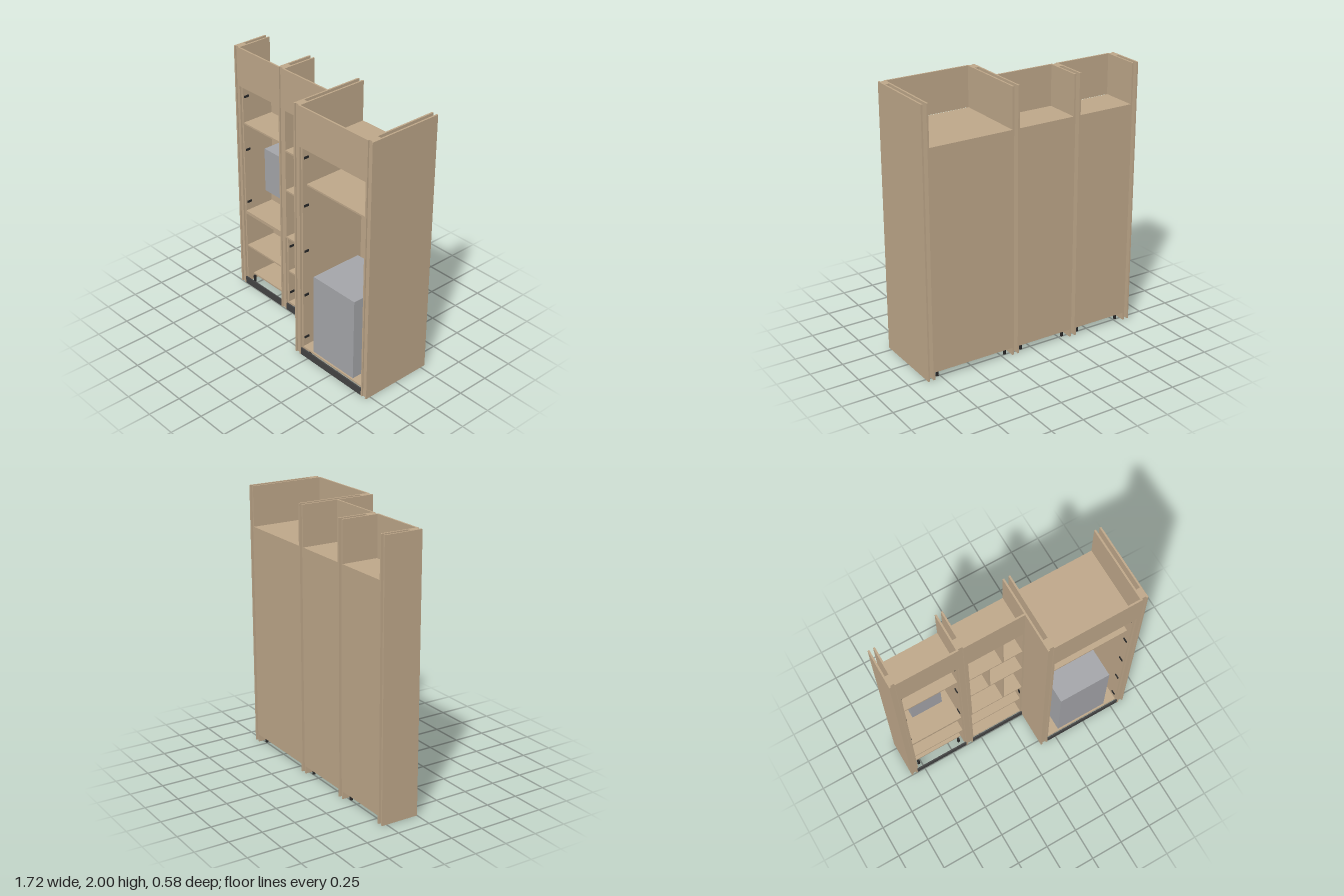
import * as THREE from 'three';

const wood = new THREE.MeshStandardMaterial({ color: 0xbfa88a });
wood.name = 'wood board';
const grey = new THREE.MeshStandardMaterial({ color: 0xa5a6aa });
grey.name = 'appliance grey';
const dark = new THREE.MeshStandardMaterial({ color: 0x444444 });
dark.name = 'plinth dark grey';
const black = new THREE.MeshStandardMaterial({ color: 0x262626 });
black.name = 'fitting black';

const T = 0.0128;      // board thickness
const BACK = -0.288;   // common rear plane
const SHALLOW = 0;     // front plane of the two shallow bays
const DEEP = 0.288;    // front plane of the deep bay

// Box given by its limits on each axis
function box(parent, name, mat, x0, x1, y0, y1, z0, z1) {
  const m = new THREE.Mesh(new THREE.BoxGeometry(x1 - x0, y1 - y0, z1 - z0), mat);
  m.position.set((x0 + x1) / 2, (y0 + y1) / 2, (z0 + z1) / 2);
  m.name = name;
  parent.add(m);
  return m;
}

// Open carcass: sides, top, bottom, back and horizontal shelves (by top height)
function carcass(parent, name, x0, x1, y0, y1, front, { shelves = [], shelfInset = 0.004, bottomInset = 0 } = {}) {
  const g = new THREE.Group();
  g.name = name;
  box(g, 'sideRight', wood, x0, x0 + T, y0, y1, BACK, front);
  box(g, 'sideLeft', wood, x1 - T, x1, y0, y1, BACK, front);
  box(g, 'topBoard', wood, x0 + T, x1 - T, y1 - T, y1, BACK, front);
  box(g, 'bottomBoard', wood, x0 + T, x1 - T, y0, y0 + T, BACK, front - bottomInset);
  box(g, 'backBoard', wood, x0 + T, x1 - T, y0 + T, y1 - T, BACK, BACK + 0.008);
  for (const y of shelves)
    box(g, 'shelf', wood, x0 + T, x1 - T, y - T, y, BACK + 0.008, front - shelfInset);
  parent.add(g);
  return g;
}

// Pillar: two full-height boards with a slightly recessed filler between them
function pillar(parent, x0, x1, front) {
  const g = new THREE.Group();
  g.name = 'pillar';
  box(g, 'pillarBoard', wood, x0, x0 + T, 0, 2, BACK, front);
  box(g, 'pillarBoard', wood, x1 - T, x1, 0, 2, BACK, front);
  box(g, 'pillarFiller', wood, x0 + T, x1 - T, 0, 2, front - 0.083, front - 0.011);
  parent.add(g);
}

// Plinth, feet and the fascia above a bay
function bayTrim(parent, x0, x1, front) {
  box(parent, 'fascia', wood, x0, x1, 1.7, 2, front - T, front);
  box(parent, 'plinth', dark, x0, x1, 0, 0.056, front - T, front - 0.002);
  for (const x of [x0 + 0.04, x1 - 0.04])
    for (const z of [BACK + 0.045, front - 0.06]) {
      const foot = new THREE.Mesh(new THREE.CylinderGeometry(0.011, 0.011, 0.058, 12), black);
      foot.position.set(x, 0.029, z);
      foot.name = 'foot';
      parent.add(foot);
    }
}

// Hinge plates on the inner faces of the sides
function hinges(parent, xs, ys, front) {
  for (const [x, dir] of xs)
    for (const y of ys)
      box(parent, 'hinge', black, Math.min(x, x + dir * 0.007), Math.max(x, x + dir * 0.007),
        y - 0.008, y + 0.008, front - 0.05, front - 0.012);
}

export function createModel() {
  const model = new THREE.Group();
  model.name = 'builtInCabinet';

  const A = [-0.81, -0.379], B = [-0.322, 0.118], C = [0.175, 0.808];
  const base = 0.058, mid = 0.645, top = 1.7;
  const inS = SHALLOW - 0.016, inD = DEEP - 0.016;   // carcass fronts behind doors

  // Pillars between and beside the bays
  pillar(model, -0.862, A[0], SHALLOW);
  pillar(model, A[1], B[0], SHALLOW);
  pillar(model, B[1], C[0], DEEP);
  pillar(model, C[1], 0.862, DEEP);

  // Boiler bay
  const boilerBay = new THREE.Group();
  boilerBay.name = 'boilerBay';
  model.add(boilerBay);
  bayTrim(boilerBay, ...A, SHALLOW);
  carcass(boilerBay, 'lowerCarcass', ...A, base, mid, inS, { shelves: [0.35], bottomInset: 0.055 });
  carcass(boilerBay, 'upperCarcass', ...A, mid, top, inS, { shelves: [1.405] });
  box(boilerBay, 'lowerRail', wood, A[0] + T, A[1] - T, mid + T, 0.72, BACK + 0.008, BACK + 0.021);
  box(boilerBay, 'upperRail', wood, A[0] + T, A[1] - T, 1.285, 1.392, BACK + 0.008, BACK + 0.021);
  box(boilerBay, 'boiler', grey, -0.715, -0.475, 0.825, 1.18, -0.28, -0.14);
  hinges(boilerBay, [[A[0] + T, 1], [A[1] - T, -1]], [0.73, 1.175, 1.61], inS);

  // Open shelf bay with a closed lower part
  const shelfBay = new THREE.Group();
  shelfBay.name = 'shelfBay';
  model.add(shelfBay);
  bayTrim(shelfBay, ...B, SHALLOW);
  carcass(shelfBay, 'lowerCarcass', ...B, base, mid, inS, { shelves: [0.35] });
  carcass(shelfBay, 'upperCarcass', ...B, mid, top, SHALLOW, { shelves: [1.055, 1.378], shelfInset: 0 });
  for (const [x, y0, y1] of [[-0.048, mid + T, 1.042], [-0.158, 1.055, 1.365], [-0.048, 1.378, top - T]])
    box(shelfBay, 'divider', wood, x - T / 2, x + T / 2, y0, y1, BACK + 0.008, SHALLOW);
  hinges(shelfBay, [[B[0] + T, 1]], [0.15, 0.56], inS);
  box(shelfBay, 'catch', black, B[1] - T - 0.006, B[1] - T, 0.475, 0.525, inS - 0.02, inS - 0.004);

  // Deep utility bay with a floor appliance
  const utilityBay = new THREE.Group();
  utilityBay.name = 'utilityBay';
  model.add(utilityBay);
  bayTrim(utilityBay, ...C, DEEP);
  carcass(utilityBay, 'carcass', ...C, base, top, inD, { shelves: [1.403], shelfInset: 0.037 });
  box(utilityBay, 'washer', grey, 0.285, 0.697, base + T, 0.715, -0.16, 0.26);
  hinges(utilityBay, [[C[0] + T, 1], [C[1] - T, -1]], [0.145, 0.51, 0.875, 1.24, 1.61], inD);

  return model;
}
